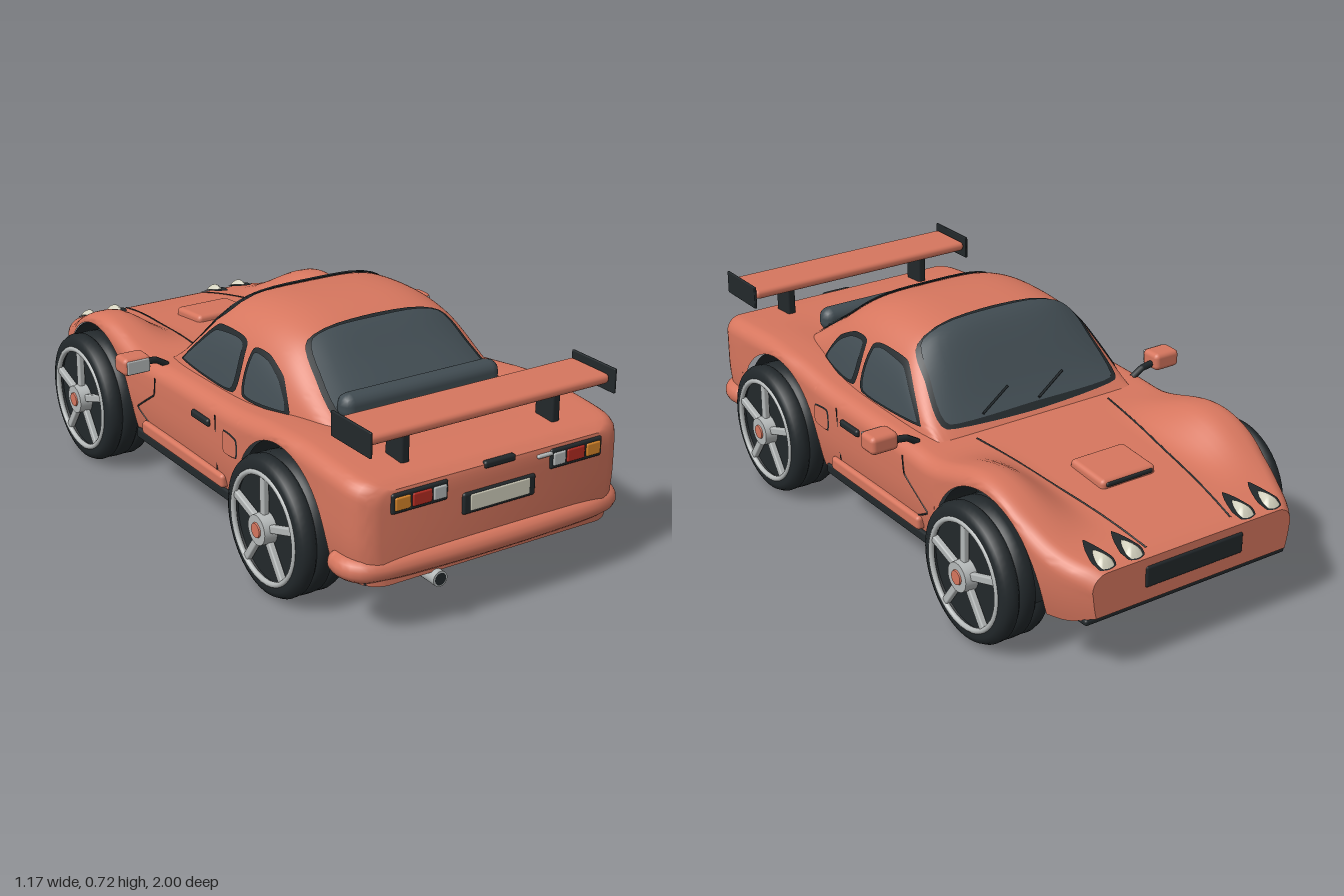
import * as THREE from 'three';
import { toCreasedNormals } from 'three/addons/utils/BufferGeometryUtils.js';
import { RoundedBoxGeometry } from 'three/addons/geometries/RoundedBoxGeometry.js';

const mat = (color, side = THREE.FrontSide) => new THREE.MeshStandardMaterial({ color, side });
const PAINT = mat(0xd6765e), DARK = mat(0x22282b, THREE.DoubleSide), GLASS = mat(0x414c52, THREE.DoubleSide);
const SILVER = mat(0xb4b8b8), CREAM = mat(0xd2d0bd, THREE.DoubleSide), RED = mat(0xb52c22), AMBER = mat(0xd8862a);
const PANEL = mat(0xd6765e, THREE.DoubleSide);
const V = (x, y, z) => new THREE.Vector3(x, y, z);
const SIDES = [1, -1];

// smooth curve through [position, value] pairs
function curve(p) {
  const slope = i => {
    const a = p[Math.max(i - 1, 0)], b = p[Math.min(i + 1, p.length - 1)];
    return (b[1] - a[1]) / (b[0] - a[0]);
  };
  return s => {
    let i = 0;
    while (i < p.length - 2 && s > p[i + 1][0]) i++;
    const d = p[i + 1][0] - p[i][0], t = THREE.MathUtils.clamp((s - p[i][0]) / d, 0, 1), u = 1 - t;
    return p[i][1] * (1 + 2 * t) * u * u + slope(i) * d * t * u * u
      + p[i + 1][1] * t * t * (3 - 2 * t) - slope(i + 1) * d * t * t * u;
  };
}

// body rules: plan width, centre height, floor, wheel arches and fenders
const ARCH = 0.245, AXLE = 0.215, WHEELS = [-0.605, 0.56], R = 0.05;
const width = curve([[-1, .365], [-.95, .395], [-.88, .425], [-.8, .445], [-.6, .455], [-.35, .46], [0, .46], [.56, .468], [.88, .468], [.94, .45], [.96, .425], [.97, .4]]);
const ridge = curve([[-1, .34], [-.97, .354], [-.8, .388], [-.6, .412], [-.22, .447], [.2, .46], [.5, .475], [.8, .487], [.93, .477], [.97, .455]]);
const floor = curve([[-1, .205], [-.9, .17], [0, .165], [.97, .17]]);
const swell = (z, c) => Math.abs(z - c) < .33 ? Math.cos((z - c) / .33 * Math.PI / 2) ** 2 : 0;
const top = (x, z) => ridge(z) + (.085 * swell(z, WHEELS[0]) + .018 * swell(z, WHEELS[1])) * THREE.MathUtils.smoothstep(Math.abs(x), .2, .38);
const sill = z => Math.max(floor(z), ...WHEELS.map(c => Math.abs(z - c) < ARCH ? AXLE + Math.sqrt(ARCH ** 2 - (z - c) ** 2) : 0));
const sideX = (y, z) => width(z) - .025 * (Math.max(0, .33 - y) / .16) ** 2;
const edge = z => top(width(z) - R, z);
function bodyTop(x, z) {
  const e = Math.max(0, Math.abs(x) - width(z) + R) / R;
  return e > 0 ? edge(z) - R * (1 - Math.sqrt(Math.max(0, 1 - e * e))) : top(x, z);
}
function bodySection(z) {
  const half = [], w = width(z), yb = sill(z), h = edge(z), ys = Math.max(h - R, yb + .004);
  for (let i = 0; i < 7; i++) { const y = yb + (ys - yb) * i / 7; half.push([sideX(y, z), y]); }
  for (let i = 0; i < 7; i++) { const a = i / 7 * Math.PI / 2; half.push([w - R + R * Math.cos(a), ys + (h - ys) * Math.sin(a)]); }
  for (let i = 0; i <= 16; i++) { const x = (w - R) * (1 - i / 16); half.push([x, top(x, z)]); }
  return half;
}

// cabin rules: superellipse sections that lean inwards
const BASE = 0.44;
const cabW = curve([[-.25, .365], [-.15, .382], [0, .388], [.25, .386], [.45, .36], [.67, .32]]);
const roof = curve([[-.25, .445], [-.18, .52], [-.07, .655], [-.02, .698], [.05, .715], [.18, .721], [.28, .71], [.36, .683], [.465, .607], [.56, .54], [.67, .455]]);
const cabX = (y, z) => {
  const t = THREE.MathUtils.clamp((y - BASE) / Math.max(.001, roof(z) - BASE), 0, 1);
  return cabW(z) * (1 - .68 * (y - BASE)) * (1 - t ** 4) ** .25;
};
function cabTop(x, z) {
  let lo = BASE, hi = roof(z);
  for (let i = 0; i < 22; i++) { const m = (lo + hi) / 2; if (cabX(m, z) > Math.abs(x)) lo = m; else hi = m; }
  return lo;
}
function cabinSection(z) {
  const half = [];
  for (let i = 0; i <= 24; i++) {
    const y = BASE + (roof(z) - BASE) * Math.sqrt(Math.sin(i / 24 * Math.PI / 2));
    half.push([i === 24 ? 0 : cabX(y, z), y]);
  }
  return half;
}

// skin mirrored half-sections along z, with optional flat ends
function loft(zs, section, caps) {
  const pos = [], idx = [];
  let n = 0;
  for (const z of zs) {
    const h = section(z), full = [...h, ...h.slice(0, -1).reverse().map(([x, y]) => [-x, y])];
    n = full.length;
    full.forEach(([x, y]) => pos.push(x, y, z));
  }
  for (let r = 0; r < zs.length - 1; r++) for (let j = 0; j < n - 1; j++) {
    const a = r * n + j, b = a + n;
    idx.push(a, a + 1, b, a + 1, b + 1, b);
  }
  if (caps) for (let j = 0; j < (n - 1) / 2; j++) {
    const L = (zs.length - 1) * n, p = j, q = n - 1 - j;
    idx.push(L + p, L + p + 1, L + q, L + p + 1, L + q - 1, L + q, p, q, p + 1, p + 1, q, q - 1);
  }
  return toCreasedNormals(new THREE.BufferGeometry().setAttribute('position', new THREE.Float32BufferAttribute(pos, 3)).setIndex(idx), .7);
}

// rounded outline filled with rings that follow a surface rule
function patch(outline, grow, place, off, dome = 0) {
  const c = outline.reduce((s, p) => [s[0] + p[0] / outline.length, s[1] + p[1] / outline.length], [0, 0]);
  const pts = outline.map(([a, b]) => { const d = Math.hypot(a - c[0], b - c[1]); return V(c[0] + (a - c[0]) * (1 + grow / d), c[1] + (b - c[1]) * (1 + grow / d), 0); });
  const rim = new THREE.CatmullRomCurve3(pts, true, 'catmullrom', .3).getPoints(48), n = rim.length, K = 10, pos = [], idx = [];
  for (let k = 0; k <= K; k++) for (const p of rim) {
    const s = k / K;
    pos.push(...place(c[0] + (p.x - c[0]) * s, c[1] + (p.y - c[1]) * s, off + dome * (1 - s * s)));
  }
  for (let k = 0; k < K; k++) for (let i = 0; i < n - 1; i++) {
    const a = k * n + i, b = a + n;
    idx.push(a, b, a + 1, a + 1, b, b + 1);
  }
  const g = new THREE.BufferGeometry().setAttribute('position', new THREE.Float32BufferAttribute(pos, 3)).setIndex(idx);
  g.computeVertexNormals();
  return g;
}

export function createModel() {
  const car = new THREE.Group();
  const add = (name, geo, m, x = 0, y = 0, z = 0, parent = car) => {
    const mesh = new THREE.Mesh(geo, m);
    mesh.name = name; mesh.position.set(x, y, z); parent.add(mesh);
    return mesh;
  };
  const box = (name, m, w, h, d, x, y, z, r = .008) => add(name, new RoundedBoxGeometry(w, h, d, 2, Math.min(r, w / 2.1, h / 2.1, d / 2.1)), m, x, y, z);
  const line = (name, pts, r = .003, m = DARK) => add(name, new THREE.TubeGeometry(new THREE.CatmullRomCurve3(pts, false, 'catmullrom', .1), 32, r, 6), m);

  // shell and cabin
  const zs = Array.from({ length: 101 }, (_, i) => -1 + 1.97 * i / 100);
  WHEELS.forEach(c => SIDES.forEach(s => [-.0005, .0005, -.004, -.015].forEach(e => zs.push(c + s * (ARCH + e)))));
  zs.push(.955, .963);
  add('bodyShell', loft(zs.sort((a, b) => a - b), bodySection, true), PAINT);
  add('cabin', loft(Array.from({ length: 61 }, (_, i) => -.25 + .92 * i / 60), cabinSection, false), PAINT);

  // glass with dark seals
  const onCabin = (x, z, o) => [x, cabTop(x, z) + o, z];
  const glazing = (name, outline, place) => {
    add(name + 'Seal', patch(outline, .012, place, .004), DARK);
    add(name, patch(outline, -.004, place, .008), GLASS);
  };
  glazing('windscreen', [[-.31, -.22], [0, -.23], [.31, -.22], [.305, -.1], [.27, -.01], [0, .005], [-.27, -.01], [-.305, -.1]], onCabin);
  glazing('rearWindow', [[-.27, .6], [0, .605], [.27, .6], [.265, .45], [.23, .36], [0, .35], [-.23, .36], [-.265, .45]], onCabin);
  for (const s of SIDES) {
    const onSide = (z, y, o) => [s * (cabX(y, z) + o), y, z];
    glazing('doorWindow', [[.16, .605], [.11, .622], [-.01, .61], [-.08, .55], [-.145, .485], [-.135, .474], [.155, .474]], onSide);
    glazing('quarterWindow', [[.215, .605], [.29, .605], [.36, .57], [.41, .515], [.415, .485], [.225, .48]], onSide);
    line('wiper', [0, .12].map(d => V(s > 0 ? .19 - d : -.02 - d, cabTop(.1, -.225 + d * .35) + .016, -.225 + d * .35)), .004);
  }
  box('rearShelfRoll', GLASS, .56, .08, .07, 0, .54, .585, .033);

  // bonnet: scoop, shut lines, grille
  const scoop = box('bonnetScoop', PAINT, .2, .04, .16, 0, ridge(-.62) + .004, -.62, .015);
  scoop.rotation.x = -.08;
  box('scoopInlet', DARK, .17, .014, .01, 0, ridge(-.7) + .012, -.7);
  box('grille', DARK, .36, .07, .02, 0, .28, -.995, .025);
  for (let i = 0; i < 3; i++) box('grilleBar', GLASS, .32, .006, .006, 0, .262 + i * .018, -1.002);

  for (const s of SIDES) {
    line('bonnetSeam', Array.from({ length: 9 }, (_, i) => { const z = -.97 + .69 * i / 8, x = s * (.155 + .095 * i / 8); return V(x, bodyTop(x, z), z); }));
    // twin teardrop headlights
    for (const x of [.205, .305]) {
      const onBody = (a, z, o) => [s * a, bodyTop(a, z) + o, z];
      const drop = [[x - .035, -.96], [x - .028, -.99], [x, -.997], [x + .028, -.99], [x + .035, -.96], [x + .02, -.91], [x, -.875], [x - .02, -.91]];
      add('headlightSurround', patch(drop, 0, onBody, .004), DARK);
      add('headlight', patch(drop.map(([a, z]) => [x + (a - x) * .72, -.995 + (z + .997) * .62]), 0, onBody, .006, .016), CREAM);
    }
    // doors: shut lines, handle, flap, skirt
    const onDoor = (z, y, o) => [s * (sideX(y, z) + o), y, z];
    line('doorSeam', [[.19, .42], [.185, .24]].map(([z, y]) => V(...onDoor(z, y, 0))));
    line('frontDoorSeam', [[-.19, .41], [-.2, .35], [-.32, .27], [-.23, .22]].map(([z, y]) => V(...onDoor(z, y, 0))));
    box('doorHandle', DARK, .022, .024, .105, s * .462, .383, .107);
    add('fuelFlapSeam', patch([[.245, .39], [.315, .385], [.315, .33], [.245, .325]], .004, onDoor, .002), DARK);
    add('fuelFlap', patch([[.245, .39], [.315, .385], [.315, .33], [.245, .325]], 0, onDoor, .005), PANEL);
    box('sideSkirt', PAINT, .04, .045, .51, s * .448, .215, -.025, .012);
    box('darkSill', DARK, .06, .035, .64, s * .42, .167, -.03);
    // mirrors
    box('mirrorHousing', PAINT, .095, .058, .075, s * .537, .48, -.188, .016);
    box('mirrorGlass', SILVER, .078, .044, .008, s * .537, .48, -.149);
    line('mirrorStem', [V(s * .41, .445, -.2), V(s * .45, .468, -.2), V(s * .51, .474, -.195)], .011);
    // wing supports
    box('wingPost', DARK, .03, .13, .08, s * .265, .53, .85);
    box('wingEndPlate', DARK, .009, .076, .19, s * .425, .594, .86, .003);
    // tail lights
    box('tailLightFrame', DARK, .19, .062, .02, s * .275, .414, .967);
    [[.335, .052, AMBER], [.27, .065, RED], [.21, .045, SILVER]].forEach(([x, w, m]) => box('tailLight', m, w, .04, .014, s * x, .414, .975, .005));
  }
  box('wing', PAINT, .84, .032, .17, 0, .598, .855, .015);

  // tail: plate, latch, bumper, exhaust
  box('plateFrame', DARK, .256, .066, .02, 0, .353, .968);
  box('plate', CREAM, .21, .05, .01, 0, .355, .976, .004);
  box('bootLatch', DARK, .11, .022, .02, 0, .453, .966);
  box('bootKey', SILVER, .055, .012, .014, .16, .433, .972);
  const rail = [[.452, .85], [.454, .89], [.435, .925], [.38, .945], [.2, .958]];
  const path = [...rail, [0, .962], ...rail.map(([x, z]) => [-x, z]).reverse()].map(([x, z]) => V(x, .215, z));
  add('rearBumper', new THREE.TubeGeometry(new THREE.CatmullRomCurve3(path), 64, .036, 14), PAINT);
  for (const s of SIDES) add('bumperEnd', new THREE.SphereGeometry(.036, 16, 12), PAINT, s * .452, .215, .85);
  add('exhaust', new THREE.CylinderGeometry(.024, .024, .095, 24).rotateX(Math.PI / 2), SILVER, -.21, .153, .942);
  add('exhaustBore', new THREE.CircleGeometry(.019, 24), DARK, -.21, .153, .9905);

  // underside
  box('floorPan', DARK, .66, .025, 1.84, 0, .16, .01);
  box('midFloor', DARK, .86, .02, .66, 0, .17, -.025);
  box('noseFloor', DARK, .74, .02, .12, 0, .185, -.92);
  box('tailFloor', DARK, .86, .02, .13, 0, .178, .875);

  // wheels and wells
  const tyre = [[0, -.08], [.19, -.082], [.209, -.072], [.215, -.055], [.214, -.036], [.206, -.028], [.214, -.02], [.215, 0], [.214, .02], [.206, .028], [.214, .036], [.215, .055], [.206, .073], [.19, .08], [.174, .08], [.168, .06], [0, .06]];
  const tyreGeo = toCreasedNormals(new THREE.LatheGeometry(tyre.map(p => new THREE.Vector2(...p)), 56).rotateZ(-Math.PI / 2), .9);
  for (const z of WHEELS) for (const s of SIDES) {
    const wheel = new THREE.Group();
    wheel.name = 'wheel';
    wheel.position.set(s * .445, AXLE, z);
    wheel.rotation.y = s > 0 ? 0 : Math.PI;
    add('tyre', tyreGeo, DARK, 0, 0, 0, wheel);
    add('rim', new THREE.TorusGeometry(.167, .009, 10, 48).rotateY(Math.PI / 2), SILVER, .077, 0, 0, wheel);
    for (let i = 0; i < 5; i++) add('spoke', new RoundedBoxGeometry(.02, .13, .024, 2, .005).translate(0, .1, 0), SILVER, .073, 0, 0, wheel).rotation.x = i * Math.PI * .4;
    add('hub', new THREE.CylinderGeometry(.046, .05, .045, 28).rotateZ(-Math.PI / 2), SILVER, .078, 0, 0, wheel);
    add('hubCap', new THREE.CylinderGeometry(.022, .024, .006, 20).rotateZ(-Math.PI / 2), PAINT, .102, 0, 0, wheel);
    car.add(wheel);
    const R2 = ARCH - .001;
    add('wheelWell', new THREE.CylinderGeometry(R2, R2, .115, 40, 1, true, 0, Math.PI).rotateZ(Math.PI / 2), DARK, s * .388, AXLE, z);
    add('wellWall', new THREE.CircleGeometry(R2, 40, 0, Math.PI).rotateY(Math.PI / 2), DARK, s * .331, AXLE, z);
    box('wellSkirt', DARK, .01, .06, R2 * 2, s * .328, .195, z, .002);
  }
  return car;
}
